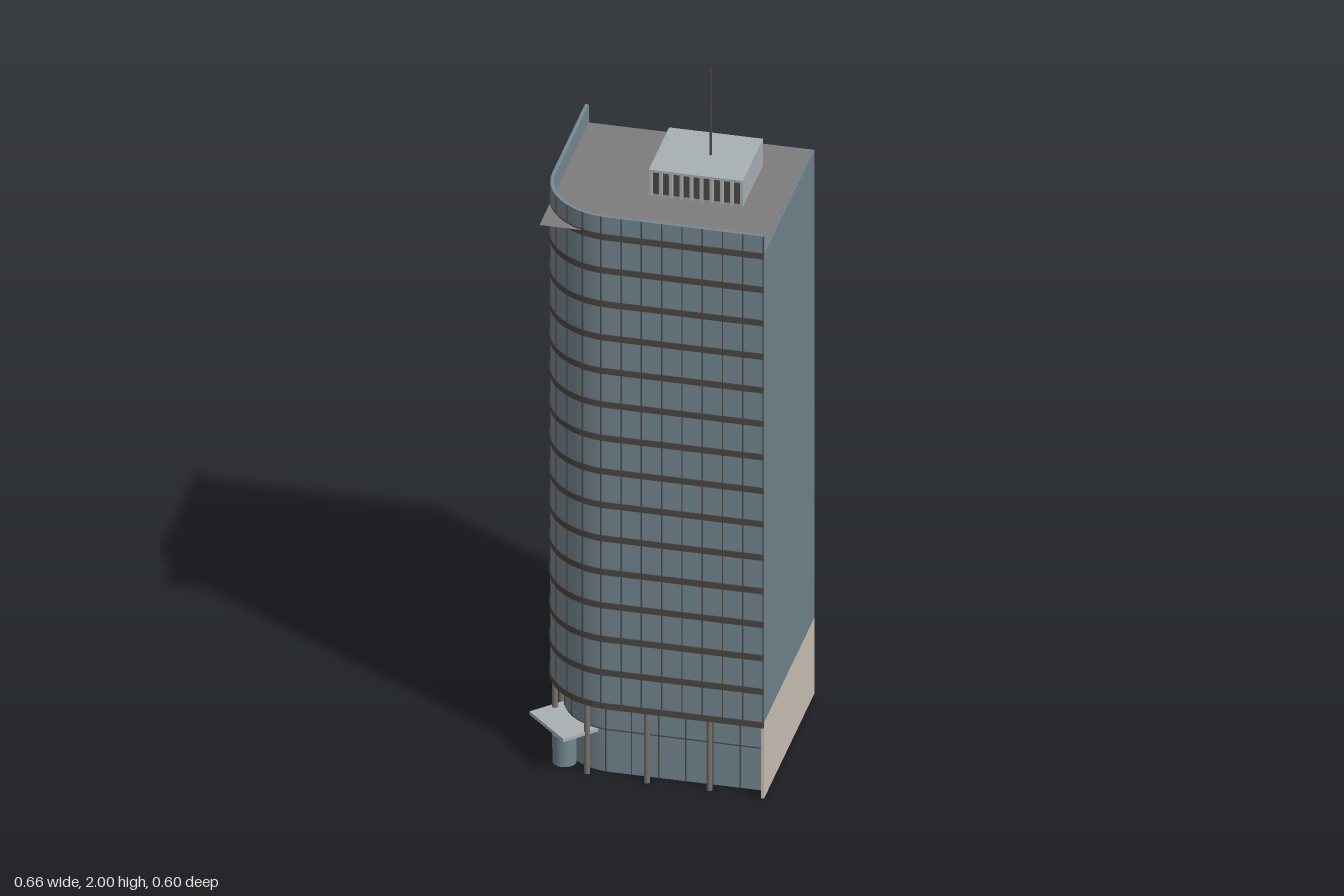
import * as THREE from 'three';
import { toCreasedNormals } from 'three/addons/utils/BufferGeometryUtils.js';

// Plan: straight front, rounded front-right corner, straight side
const XR = 0.327, XL = -0.297, ZF = 0.267, ZB = -0.3;
const R = 0.2, CX = XL + R, CZ = ZF - R;
const ROOF = 1.66, BASE = 0.22, TOP = 1.715;
const FRONT = XR - CX, ARC = R * Math.PI / 2, SIDE = CZ - ZB;
const LENGTH = FRONT + ARC + SIDE;

const mat = (color, side = THREE.FrontSide) => new THREE.MeshStandardMaterial({ color, side });

// Position and facing angle at distance s along the facade, inset by d
function along(s, d) {
  if (s < FRONT) return { x: XR - s, z: ZF - d, turn: 0 };
  if (s > FRONT + ARC) return { x: XL + d, z: CZ - (s - FRONT - ARC), turn: -Math.PI / 2 };
  const a = (s - FRONT) / R;
  return { x: CX - Math.sin(a) * (R - d), z: CZ + Math.cos(a) * (R - d), turn: -a };
}

// Facade line as plan points (shape y is -z)
function path(d) {
  const pts = [new THREE.Vector2(XR, d - ZF)];
  for (let i = 0; i <= 24; i++) {
    const p = along(FRONT + ARC * i / 24, d);
    pts.push(new THREE.Vector2(p.x, -p.z));
  }
  pts.push(new THREE.Vector2(XL + d, -ZB));
  return pts;
}

function extrudeUp(points, y0, y1) {
  const g = new THREE.ExtrudeGeometry(new THREE.Shape(points), { depth: y1 - y0, bevelEnabled: false });
  g.rotateX(-Math.PI / 2);
  g.translate(0, y0, 0);
  return toCreasedNormals(g, 0.4);
}

const strip = (d0, d1, y0, y1) => extrudeUp([...path(d0), ...path(d1).reverse()], y0, y1);
const plate = (d, y0, y1) => extrudeUp([...path(d), new THREE.Vector2(XR, -ZB)], y0, y1);

export function createModel() {
  const model = new THREE.Group();
  const glass = mat(0x758892, THREE.DoubleSide);
  const wall = mat(0x71838c);
  const stone = mat(0xcbc1b4);
  const dark = mat(0x4d4845);
  const pale = mat(0xa9b0b4);
  const roofGrey = mat(0x7e7c7d, THREE.DoubleSide);

  function add(name, geometry, material, parent = model) {
    const mesh = new THREE.Mesh(geometry, material);
    mesh.name = name;
    parent.add(mesh);
    return mesh;
  }
  // Box given by its limits
  function box(name, material, x0, x1, y0, y1, z0, z1, parent = model) {
    const mesh = add(name, new THREE.BoxGeometry(x1 - x0, y1 - y0, z1 - z0), material, parent);
    mesh.position.set((x0 + x1) / 2, (y0 + y1) / 2, (z0 + z1) / 2);
    return mesh;
  }
  function group(name) {
    const g = new THREE.Group();
    g.name = name;
    model.add(g);
    return g;
  }
  // Upright bar standing on the facade line
  function upright(name, material, s, d, w, depth, y0, y1, parent) {
    const p = along(s, d);
    const m = add(name, new THREE.BoxGeometry(w, y1 - y0, depth), material, parent);
    m.position.set(p.x, (y0 + y1) / 2, p.z);
    m.rotation.y = p.turn;
  }

  // Tower skin with parapet, and the blank walls
  add('glassFacade', strip(0.002, 0.012, BASE, TOP), glass);
  box('sideWall', wall, XR - 0.007, XR, 0, ROOF, ZB, ZF - 0.04);
  box('sideWallEdge', wall, XR - 0.007, XR, BASE, ROOF, ZF - 0.04, ZF);
  box('backWall', wall, XL, XR, 0, ROOF, ZB, ZB + 0.007);

  // Stone cladding at the foot of the blank walls
  box('sideBasePanel', stone, XR - 0.008, XR + 0.0006, 0, 0.23, ZB, ZF);
  box('backBasePanel', stone, XL, XR, 0, 0.23, ZB - 0.0006, ZB + 0.008);

  // Floor bands and mullions
  const bands = group('floorBands');
  for (let i = 0; i < 15; i++) {
    const y = 0.223 + i * 0.1023;
    add('floorBand', strip(-0.001, 0.006, y - 0.009, y + 0.009), dark, bands);
  }
  const mullions = group('mullions');
  const count = 20;
  for (let i = 0; i <= count; i++) {
    const s = 0.002 + (LENGTH - 0.004) * i / count;
    upright('mullion', dark, s, 0.001, 0.003, 0.004, BASE, TOP, mullions);
  }

  // Recessed ground floor
  add('groundGlass', strip(0.04, 0.043, 0, BASE), glass);
  add('soffit', plate(0.004, BASE - 0.004, BASE + 0.004), dark);
  const frames = group('groundFrames');
  for (let i = 1; i < 15; i++) {
    upright('groundMullion', dark, LENGTH * i / 15, 0.039, 0.003, 0.004, 0, BASE, frames);
  }
  add('groundTransom', strip(0.038, 0.042, 0.128, 0.131), dark, frames);

  // Columns under the overhang
  const columns = group('columns');
  for (const s of [0.15, 0.32, 0.49, 0.66, 0.80, 0.95]) {
    const p = along(s, 0.012);
    const c = add('column', new THREE.CylinderGeometry(0.008, 0.008, BASE, 12), mat(0x7a726b), columns);
    c.position.set(p.x, BASE / 2, p.z);
  }

  // Corner entrance: drum and canopy turned to the corner
  const canopy = add('entranceCanopy', new THREE.BoxGeometry(0.17, 0.01, 0.113), pale);
  canopy.position.set(-0.23, 0.122, 0.2);
  canopy.rotation.y = -Math.PI / 4;
  const drum = add('entranceDrum', new THREE.CylinderGeometry(0.032, 0.032, 0.087, 24), glass);
  drum.position.set(-0.23, 0.0435, 0.2);

  // Roof plate, square at the rounded corner
  const roof = add('roof', new THREE.PlaneGeometry(0.605, 0.548), roofGrey);
  roof.rotation.x = -Math.PI / 2;
  roof.position.set(0.0175, ROOF + 0.001, -0.019);

  // Rooftop plant room with louvred front
  const plant = group('plantRoom');
  box('plantBody', pale, -0.04, 0.215, ROOF, 1.735, -0.188, 0.022, plant);
  box('plantRoof', pale, -0.04, 0.215, 1.735, 1.742, -0.188, 0.04, plant);
  box('louvreBack', dark, -0.036, 0.211, ROOF, 1.735, 0.022, 0.024, plant);
  for (let i = 0; i < 10; i++) {
    const x = -0.04 + i * 0.0275;
    box('louvreFin', pale, x, x + 0.0075, ROOF, 1.735, 0.022, 0.039, plant);
  }

  // Mast
  const mast = add('mast', new THREE.CylinderGeometry(0.0035, 0.0035, 0.258, 8), mat(0x50413f));
  mast.position.set(0.1, 1.871, -0.075);

  return model;
}
